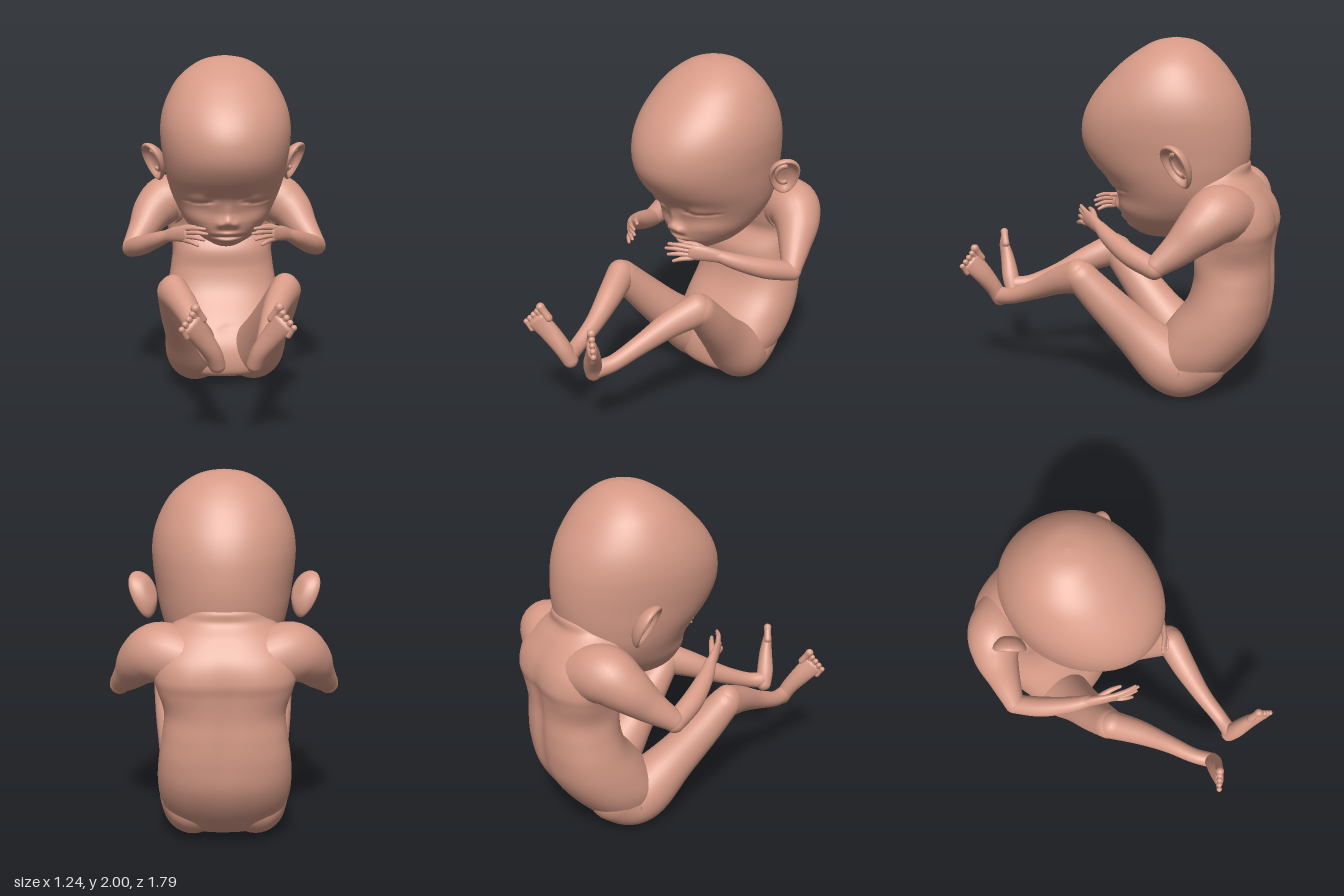
import * as THREE from 'three';

const skin = new THREE.MeshStandardMaterial({ color: 0xd69a86 });
skin.name = 'skin';

// Catmull-Rom interpolation of table rows, u in 0..1
function sample(rows, u) {
  const n = rows.length - 1;
  const f = Math.min(Math.max(u, 0), 1) * n;
  const i = Math.min(Math.floor(f), n - 1), t = f - i;
  const at = k => rows[Math.min(Math.max(k, 0), n)];
  const [a, b, c, d] = [at(i - 1), at(i), at(i + 1), at(i + 2)];
  return b.map((_, k) => {
    const m0 = (c[k] - a[k]) / 2, m1 = (d[k] - b[k]) / 2, t2 = t * t, t3 = t2 * t;
    return (2 * t3 - 3 * t2 + 1) * b[k] + (t3 - 2 * t2 + t) * m0 + (3 * t2 - 2 * t3) * c[k] + (t3 - t2) * m1;
  });
}

// Joins closed rings of equal size into one smooth skin
function skinRings(rings) {
  const cols = rings[0].length, pos = [], index = [];
  rings.forEach(r => r.forEach(p => pos.push(p[0], p[1], p[2])));
  for (let i = 0; i < rings.length - 1; i++) {
    for (let j = 0; j < cols; j++) {
      const k = (j + 1) % cols, a = i * cols, b = a + cols;
      index.push(a + j, a + k, b + k, a + j, b + k, b + j);
    }
  }
  const g = new THREE.BufferGeometry();
  g.setAttribute('position', new THREE.Float32BufferAttribute(pos, 3));
  g.setIndex(index);
  g.computeVertexNormals();
  return g;
}

// Body of horizontal slices: rows of [y, back z, front z, half width]
function slices(rows, count, cols, power, shape) {
  const rings = [];
  for (let i = 0; i <= count; i++) {
    const [y, zb, zf, hw] = sample(rows, i / count), ring = [];
    for (let j = 0; j < cols; j++) {
      const a = (j / cols) * Math.PI * 2, c = Math.cos(a), s = Math.sin(a);
      const x = Math.sign(s) * Math.pow(Math.abs(s), 2 / power) * hw;
      const z = (zb + zf) / 2 + Math.sign(c) * Math.pow(Math.abs(c), 2 / power) * (zf - zb) / 2;
      ring.push([x, y, z + shape(x, y, c)]);
    }
    rings.push(ring);
  }
  return skinRings(rings);
}

// Limb along a path: rows of [x, y, z, thickness radius, width radius], round ends
function limb(rows, ref = [0, 1, 0], count = 28, cols = 24) {
  const full = rows.map(r => [r[0], r[1], r[2], r[3], r[4] ?? r[3]]);
  const rings = [], up = new THREE.Vector3(...ref);
  const addRing = (u, shift, scale) => {
    const s = sample(full, u), e = 0.01;
    const T = new THREE.Vector3(...sample(full, u + e).slice(0, 3))
      .sub(new THREE.Vector3(...sample(full, u - e).slice(0, 3))).normalize();
    const A = up.clone().addScaledVector(T, -up.dot(T)).normalize();
    const B = T.clone().cross(A);
    const C = new THREE.Vector3(s[0], s[1], s[2]).addScaledVector(T, shift * Math.min(s[3], s[4]));
    const ring = [];
    for (let j = 0; j < cols; j++) {
      const a = (j / cols) * Math.PI * 2;
      ring.push(C.clone().addScaledVector(A, Math.cos(a) * s[3] * scale)
        .addScaledVector(B, Math.sin(a) * s[4] * scale).toArray());
    }
    rings.push(ring);
  };
  const caps = 7, q = Math.PI / 2 / caps;
  for (let k = 0; k < caps; k++) addRing(0, -Math.cos(k * q), Math.max(Math.sin(k * q), 0.001));
  for (let i = 0; i <= count; i++) addRing(i / count, 0, 1);
  for (let k = caps - 1; k >= 0; k--) addRing(1, Math.cos(k * q), Math.max(Math.sin(k * q), 0.001));
  return skinRings(rings);
}

function mirrored(geometry) {
  const g = geometry.clone().scale(-1, 1, 1), ix = g.index.array;
  for (let i = 0; i < ix.length; i += 3) [ix[i], ix[i + 1]] = [ix[i + 1], ix[i]];
  g.computeVertexNormals();
  return g;
}

// Soft dents and swellings: [x (both sides), y, x spread, y spread, height]
const relief = (list, x, y) => list.reduce((sum, [bx, by, sx, sy, h]) =>
  sum + h * Math.exp(-(((Math.abs(x) - bx) / sx) ** 2) - ((y - by) / sy) ** 2), 0);

const faceRelief = [
  [0, 1.12, 0.032, 0.05, 0.018], [0, 1.06, 0.04, 0.034, 0.036], [0.043, 1.045, 0.022, 0.022, 0.02], // nose
  [0, 0.987, 0.07, 0.014, 0.018], [0, 0.943, 0.06, 0.014, 0.016], [0, 0.964, 0.085, 0.008, -0.016], // lips
  [0, 0.905, 0.05, 0.02, 0.012], [0.2, 1.08, 0.08, 0.05, 0.015], // chin, cheeks
  [0.08, 1.2, 0.04, 0.03, -0.014], [0.17, 1.195, 0.06, 0.03, 0.014], // eye sockets, eyelids
  [0.17, 1.168, 0.045, 0.007, -0.016], [0.11, 1.176, 0.025, 0.007, -0.012], [0.23, 1.176, 0.025, 0.007, -0.012], // closed eyes
];

function headGeometry() {
  const rows = [
    [0.88, -0.25, -0.25, 0.001], [0.89, -0.34, -0.16, 0.06], [0.915, -0.42, -0.1, 0.11], [0.95, -0.48, -0.055, 0.165],
    [1.0, -0.55, -0.022, 0.215], [1.05, -0.6, -0.008, 0.253], [1.12, -0.66, 0.0, 0.29], [1.2, -0.7, 0.045, 0.323],
    [1.3, -0.727, 0.14, 0.35], [1.4, -0.738, 0.2, 0.367], [1.5, -0.735, 0.212, 0.38], [1.6, -0.72, 0.188, 0.382],
    [1.7, -0.685, 0.13, 0.364], [1.8, -0.625, 0.042, 0.322], [1.88, -0.56, -0.045, 0.267], [1.95, -0.48, -0.148, 0.18],
    [1.985, -0.41, -0.225, 0.1], [2.0, -0.32, -0.32, 0.001],
  ];
  return slices(rows, 170, 150, 2.05, (x, y, c) => Math.sqrt(Math.max(c, 0)) * relief(faceRelief, x, y));
}

function torsoGeometry() {
  const rows = [
    [0.035, -0.42, -0.42, 0.001], [0.05, -0.54, -0.28, 0.19], [0.1, -0.625, -0.205, 0.28], [0.25, -0.762, -0.215, 0.345],
    [0.4, -0.85, -0.305, 0.357], [0.55, -0.88, -0.415, 0.345], [0.68, -0.885, -0.455, 0.325], [0.8, -0.88, -0.46, 0.315],
    [0.92, -0.887, -0.515, 0.345], [1.0, -0.897, -0.5, 0.365], [1.1, -0.872, -0.47, 0.36], [1.2, -0.805, -0.42, 0.3],
    [1.27, -0.745, -0.37, 0.235], [1.34, -0.722, -0.4, 0.17], [1.37, -0.55, -0.55, 0.001],
  ];
  const spine = [[0, 0.7, 0.05, 0.35, 0.018], [0.2, 1.0, 0.09, 0.12, -0.008]];
  const navel = [[0, 0.345, 0.035, 0.01, -0.025]];
  return slices(rows, 110, 96, 2.35, (x, y, c) => relief(c < 0 ? spine : navel, x, y) * Math.min(1, Math.abs(c) * 2));
}

// Dished ear shell with a rolled rim, leaning outwards and forwards at the top
function earGeometries() {
  const profile = [[0.0005, -0.05], [0.05, -0.045], [0.085, -0.015], [0.096, 0.012], [0.088, 0.024],
    [0.076, 0.014], [0.06, -0.008], [0.03, -0.02], [0.0005, -0.022]];
  const pts = [];
  for (let i = 0; i <= 32; i++) pts.push(new THREE.Vector2(...sample(profile, i / 32)));
  const shell = new THREE.LatheGeometry(pts, 40);
  const fold = new THREE.TorusGeometry(0.048, 0.011, 10, 28, Math.PI * 1.25);
  fold.rotateX(Math.PI / 2).rotateY(2.0).translate(0, -0.004, 0);
  const N = new THREE.Vector3(0.75, -0.42, 0.48).normalize();
  const L = new THREE.Vector3(0.3, 0.86, 0.4);
  L.addScaledVector(N, -L.dot(N)).normalize();
  const W = N.clone().cross(L);
  const place = new THREE.Matrix4().makeBasis(W, N, L).setPosition(0.418, 1.365, -0.445);
  return [shell, fold].map(g => {
    const p = g.attributes.position;
    for (let i = 0; i < p.count; i++) {
      const z = p.getZ(i) * 1.34;
      p.setXYZ(i, p.getX(i) * (0.92 + 1.6 * z), p.getY(i), z); // narrower towards the lobe
    }
    g.applyMatrix4(place);
    g.computeVertexNormals();
    return g;
  });
}

export function createModel() {
  const model = new THREE.Group();
  model.name = 'curledBaby';
  const add = (name, g) => {
    const m = new THREE.Mesh(g, skin);
    m.name = name;
    model.add(m);
  };
  const addPair = (name, g) => {
    add(name + 'Left', g);
    add(name + 'Right', mirrored(g));
  };

  add('head', headGeometry());
  add('torso', torsoGeometry());
  const [shell, fold] = earGeometries();
  addPair('ear', shell);
  addPair('earFold', fold);

  // Arms
  addPair('upperArm', limb([[0.17, 1.06, -0.69, 0.15], [0.33, 1.1, -0.64, 0.158], [0.425, 1.045, -0.575, 0.132],
    [0.495, 0.945, -0.475, 0.092], [0.558, 0.86, -0.375, 0.06]], [0, 0, 1]));
  addPair('forearm', limb([[0.566, 0.845, -0.365, 0.055], [0.5, 0.89, -0.215, 0.058], [0.412, 0.947, -0.075, 0.046],
    [0.34, 0.99, 0.01, 0.033]]));

  // Hands: flat palm, four fingers and a thumb
  addPair('palm', limb([[0.36, 0.98, -0.01, 0.034, 0.03], [0.305, 1.005, 0.06, 0.042, 0.024],
    [0.245, 1.017, 0.125, 0.045, 0.018]]));
  const fingers = [[1.046, 0.14, 1.056, 0.19], [1.024, 0.128, 1.03, 0.2], [1.002, 0.145, 0.998, 0.2], [0.982, 0.18, 0.967, 0.195]];
  fingers.forEach(([y0, x, y, z], i) => addPair('finger' + (i + 1),
    limb([[0.25, y0, 0.12, 0.014], [(0.25 + x) / 2, (y0 + y) / 2 + 0.006, (0.12 + z) / 2 + 0.008, 0.013], [x, y, z, 0.009]], [0, 1, 0], 10, 12)));
  addPair('thumb', limb([[0.3, 1.02, 0.05, 0.018], [0.24, 1.05, 0.085, 0.015], [0.19, 1.056, 0.12, 0.01]], [0, 1, 0], 10, 12));

  // Legs
  addPair('thigh', limb([[0.165, 0.225, -0.51, 0.165], [0.175, 0.17, -0.41, 0.167], [0.2, 0.225, -0.32, 0.165],
    [0.238, 0.37, -0.17, 0.13], [0.285, 0.54, -0.01, 0.108], [0.318, 0.688, 0.125, 0.09]], [1, 0, 0], 40, 32));
  addPair('shin', limb([[0.318, 0.695, 0.14, 0.098, 0.083], [0.25, 0.635, 0.29, 0.077, 0.072], [0.19, 0.55, 0.46, 0.057, 0.053],
    [0.148, 0.485, 0.62, 0.047, 0.045], [0.112, 0.468, 0.715, 0.052, 0.045]]));

  // Feet: soles turned forward and inward, toes up
  const sole = [-0.58, -0.03, 0.81];
  addPair('foot', limb([[0.098, 0.445, 0.727, 0.046, 0.044], [0.125, 0.52, 0.755, 0.05, 0.048],
    [0.18, 0.615, 0.797, 0.04, 0.057], [0.225, 0.69, 0.84, 0.026, 0.063]], sole));
  for (let i = 0; i < 5; i++) {
    const t = i / 4, r = i ? 0.019 - 0.003 * t : 0.024, len = i ? 0.052 - 0.018 * t : 0.058;
    const base = [0.184 + 0.08 * t, 0.724 - 0.076 * t, 0.81 + 0.056 * t];
    const at = k => [base[0] + 0.456 * k, base[1] + 0.815 * k, base[2] + 0.3 * k];
    addPair('toe' + (i + 1), limb([[...at(-0.02), r * 0.95], [...at(len * 0.5), r * 0.88], [...at(len), r]], sole, 10, 12));
  }
  return model;
}
